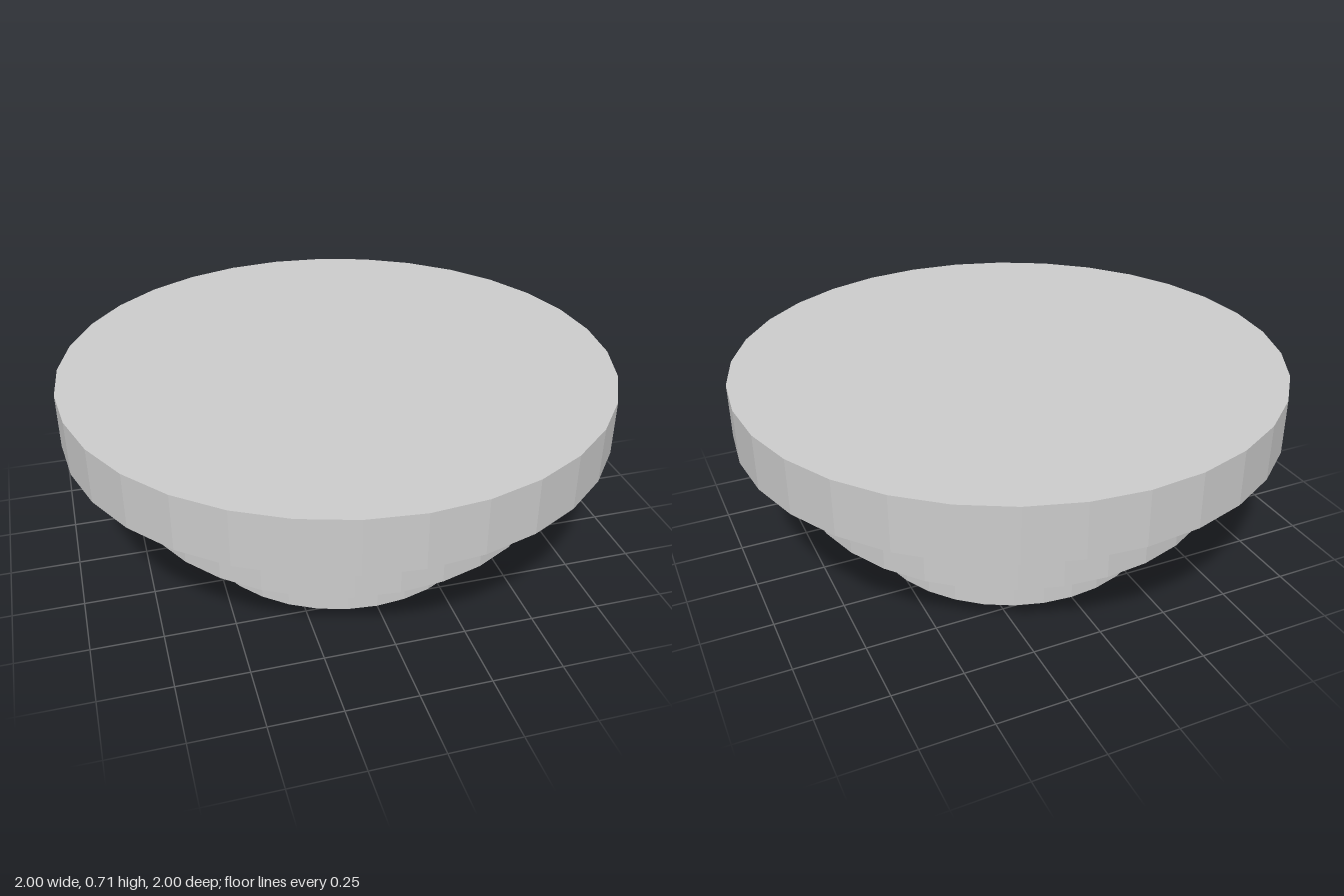
import * as THREE from 'three';

// Three stacked round tiers, widening upwards
const TIERS = [
  { name: 'lowerTier', radius: 0.54, bottom: 0, top: 0.25 },
  { name: 'middleTier', radius: 0.78, bottom: 0.25, top: 0.51 },
  { name: 'topTier', radius: 1, bottom: 0.51, top: 0.71 },
];
const SIDES = 32;

export function createModel() {
  const model = new THREE.Group();
  model.name = 'steppedDisc';
  const material = new THREE.MeshStandardMaterial({ color: 0xcccccc, flatShading: true });

  for (const { name, radius, bottom, top } of TIERS) {
    const tier = new THREE.Mesh(
      new THREE.CylinderGeometry(radius, radius, top - bottom, SIDES),
      material
    );
    tier.name = name;
    tier.position.y = (bottom + top) / 2;
    model.add(tier);
  }
  return model;
}
